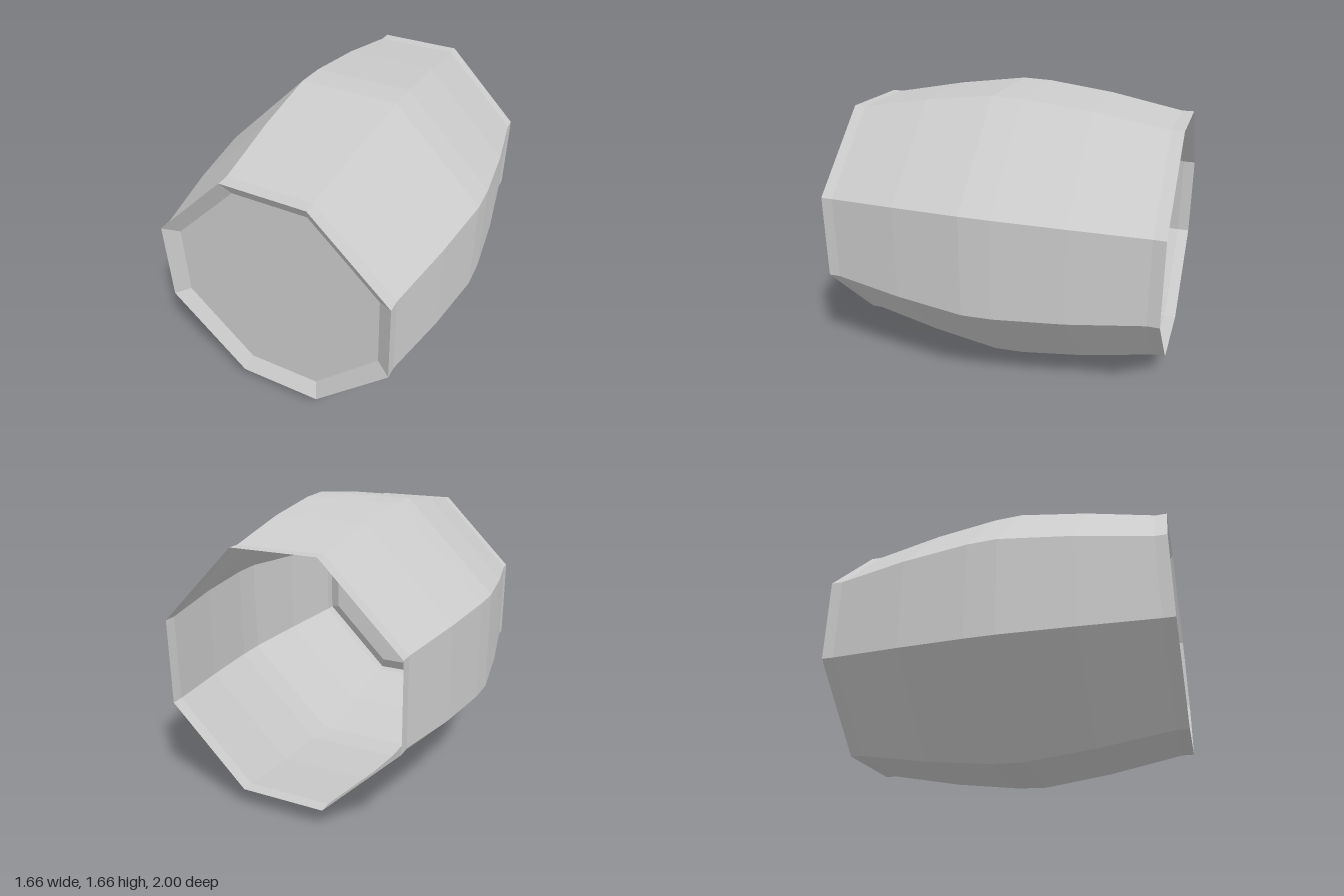
import * as THREE from 'three';

const material = new THREE.MeshStandardMaterial({
  color: 0xcccccc, flatShading: true, side: THREE.DoubleSide,
});
const CORNER = 0.356; // half-width of a straight side relative to its distance from the axis

// Eight-sided outline, counter-clockwise seen from the front
function octagon(r) {
  const c = r * CORNER;
  return [[c, r], [-c, r], [-r, c], [-r, -c], [-c, -r], [c, -r], [r, -c], [r, c]];
}

// Skin through octagonal sections [z, radius], ordered front to back for an outward skin
function loft(name, sections) {
  const positions = [];
  for (let s = 0; s < sections.length - 1; s++) {
    const [z0, r0] = sections[s], [z1, r1] = sections[s + 1];
    const front = octagon(r0), back = octagon(r1);
    for (let i = 0; i < 8; i++) {
      const j = (i + 1) % 8;
      const a = [...front[i], z0], b = [...front[j], z0];
      const c = [...back[j], z1], d = [...back[i], z1];
      positions.push(...a, ...d, ...c, ...a, ...c, ...b);
    }
  }
  const geometry = new THREE.BufferGeometry();
  geometry.setAttribute('position', new THREE.Float32BufferAttribute(positions, 3));
  geometry.computeVertexNormals();
  const mesh = new THREE.Mesh(geometry, material);
  mesh.name = name;
  return mesh;
}

export function createModel() {
  const group = new THREE.Group();
  group.name = 'barrel';

  // Bulging thin wall, open at the back
  group.add(loft('barrelWall', [
    [1, 0.7], [0.93, 0.7], [0.5, 0.777], [0.08, 0.83],
    [-0.1, 0.824], [-0.5, 0.777], [-0.93, 0.7], [-1, 0.7],
  ]));

  // Sloping rim running inward to the lid
  group.add(loft('frontRim', [[0.945, 0.615], [1, 0.7]]));

  // Recessed flat lid
  const outline = new THREE.Shape(octagon(0.615).map(([x, y]) => new THREE.Vector2(x, y)));
  const lid = new THREE.Mesh(new THREE.ShapeGeometry(outline), material);
  lid.name = 'frontLid';
  lid.position.z = 0.945;
  group.add(lid);

  group.position.y = 0.83;
  const model = new THREE.Group();
  model.add(group);
  return model;
}
